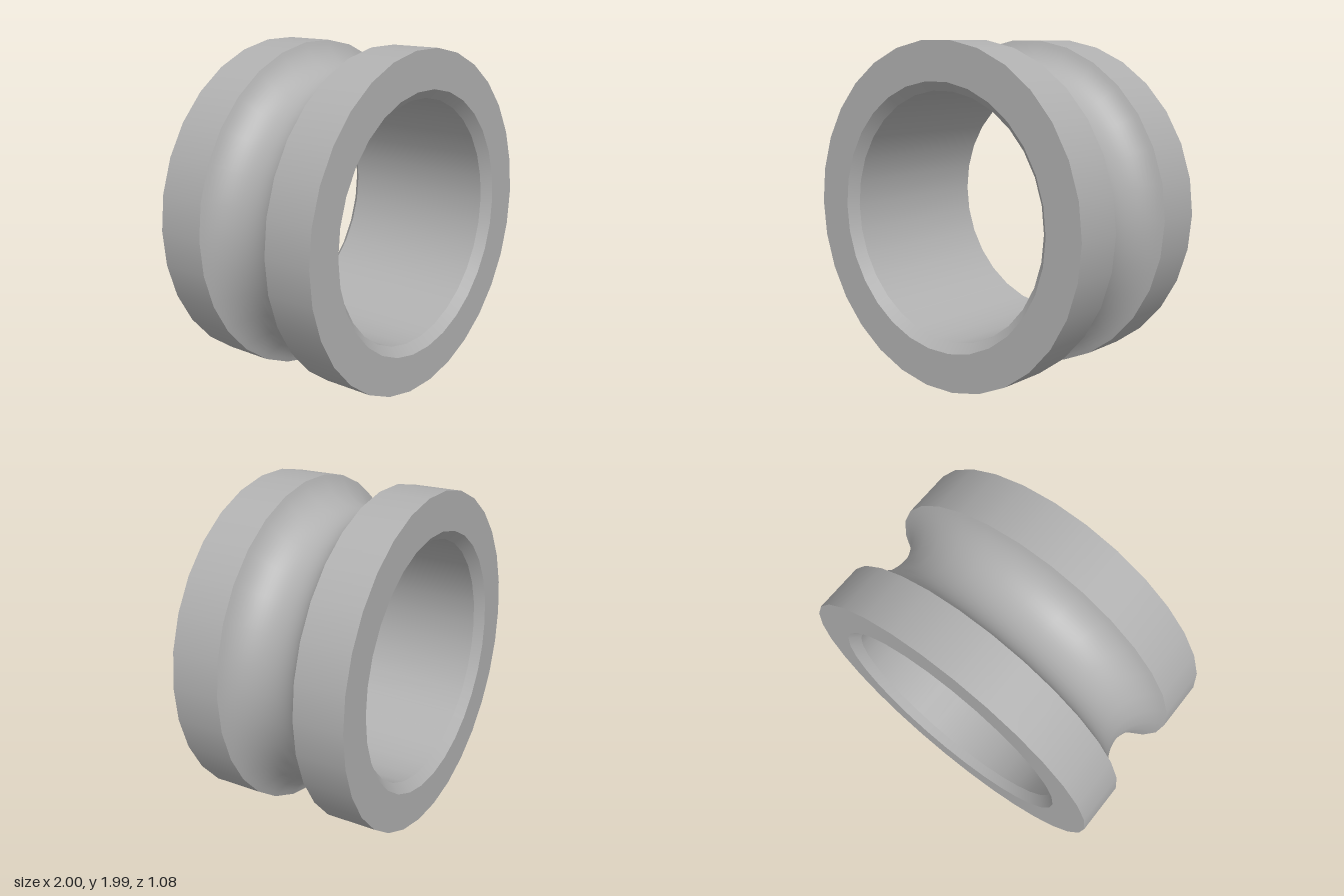
import * as THREE from 'three';

const SIDES = 30;
const R = 1, BORE = 0.72, MOUTH = 0.773; // outer rim, bore and chamfer mouth radii
const HALF = 0.54, GROOVE = 0.24, FLOOR = 0.828; // half width, groove half width, groove floor radius
const CHAMFER = MOUTH - BORE;

export function createModel() {
  const group = new THREE.Group();
  group.name = 'groovedRing';
  const grey = new THREE.MeshStandardMaterial({ color: 0xb0b0b0 });
  grey.name = 'grey';

  // Each section is turned separately so the edges between sections stay sharp
  const turn = (name, profile) => {
    const points = profile.map(([r, z]) => new THREE.Vector2(r, z));
    const geometry = new THREE.LatheGeometry(points, SIDES, Math.PI / 2);
    geometry.rotateX(Math.PI / 2); // axis along z
    const mesh = new THREE.Mesh(geometry, grey);
    mesh.name = name;
    group.add(mesh);
  };

  // Circular arc of the groove, from back edge to front edge
  const depth = R - FLOOR;
  const arcRadius = (GROOVE * GROOVE + depth * depth) / (2 * depth);
  const sweep = Math.asin(GROOVE / arcRadius);
  const arc = [];
  for (let i = 0; i <= 24; i++) {
    const a = sweep * (i / 12 - 1);
    arc.push([FLOOR + arcRadius * (1 - Math.cos(a)), arcRadius * Math.sin(a)]);
  }

  // Outside
  turn('backRim', [[R, -HALF], [R, -GROOVE]]);
  turn('groove', arc);
  turn('frontRim', [[R, GROOVE], [R, HALF]]);

  // Front face, chamfers, bore and back face
  turn('frontFace', [[R, HALF], [MOUTH, HALF]]);
  turn('frontChamfer', [[MOUTH, HALF], [BORE, HALF - CHAMFER]]);
  turn('bore', [[BORE, HALF - CHAMFER], [BORE, CHAMFER - HALF]]);
  turn('backChamfer', [[BORE, CHAMFER - HALF], [MOUTH, -HALF]]);
  turn('backFace', [[MOUTH, -HALF], [R, -HALF]]);

  // Rest the flat bottom facet on the ground
  group.position.y = Math.cos(Math.PI / SIDES) * R;
  return group;
}
